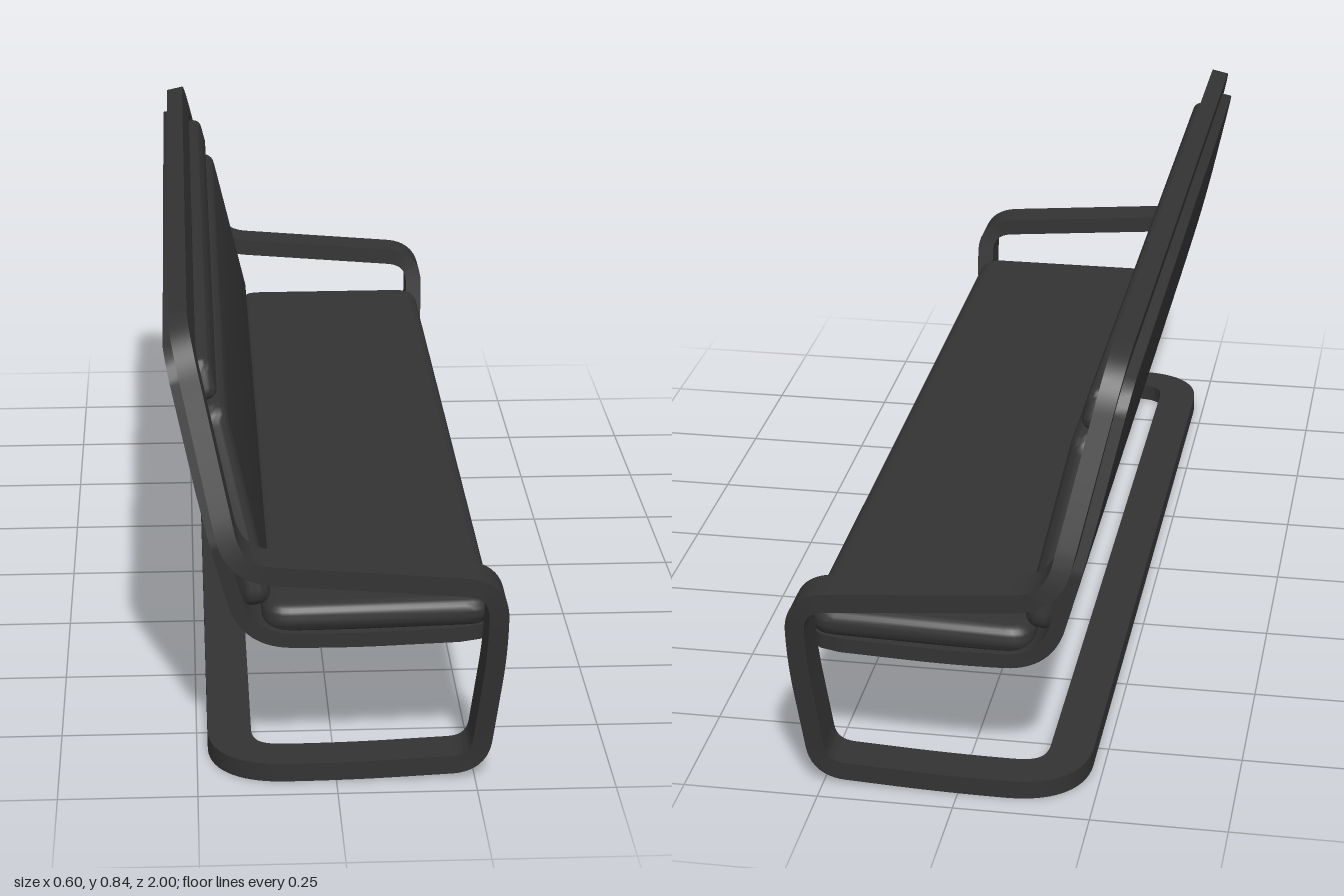
import * as THREE from 'three';
import { toCreasedNormals } from 'three/addons/utils/BufferGeometryUtils.js';

const material = new THREE.MeshStandardMaterial({ color: 0x333333 });

// Polyline of [x, y, r] points with corners eased over a length r
function roundedPath(pts, closed, path = new THREE.Path()) {
  const n = pts.length;
  const v = pts.map(p => new THREE.Vector2(p[0], p[1]));
  const toward = (i, j) => v[i].clone().add(v[j].clone().sub(v[i]).setLength(pts[i][2]));
  const first = closed ? toward(0, 1) : v[0];
  path.moveTo(first.x, first.y);
  for (let k = 1; k < (closed ? n + 1 : n - 1); k++) {
    const i = k % n, a = toward(i, (i + n - 1) % n), b = toward(i, (i + 1) % n);
    path.lineTo(a.x, a.y);
    path.quadraticCurveTo(v[i].x, v[i].y, b.x, b.y);
  }
  if (!closed) path.lineTo(v[n - 1].x, v[n - 1].y);
  return path;
}

// Side profile as a bent sheet: (s along it, z across it, n off it) to a 3D point
function bentSheet(path) {
  const length = path.getLength();
  const at = (s, z, n) => {
    const t = THREE.MathUtils.clamp(s / length, 0, 1);
    const p = path.getPoint(t), d = path.getTangent(t);
    return [p.x - d.y * n, p.y + d.x * n, z];
  };
  // Distance along the sheet nearest to a side-view point
  const find = (x, y) => {
    let best = 0, min = Infinity;
    for (let i = 0; i <= 500; i++) {
      const p = path.getPoint(i / 500), d = Math.hypot(p.x - x, p.y - y);
      if (d < min) { min = d; best = i / 500 * length; }
    }
    return best;
  };
  return { length, at, find };
}

// Skin over four-cornered rings
function loft(rings, closed) {
  const index = [], n = rings.length;
  for (let i = 0; i < (closed ? n : n - 1); i++) {
    const a = i * 4, b = ((i + 1) % n) * 4;
    for (let j = 0; j < 4; j++) {
      const k = (j + 1) % 4;
      index.push(a + j, a + k, b + k, a + j, b + k, b + j);
    }
  }
  if (!closed) {
    const e = (n - 1) * 4;
    index.push(0, 2, 1, 0, 3, 2, e, e + 1, e + 2, e, e + 2, e + 3);
  }
  const g = new THREE.BufferGeometry();
  g.setAttribute('position', new THREE.Float32BufferAttribute(rings.flat(2), 3));
  g.setIndex(index);
  return toCreasedNormals(g, 0.6);
}

const corners = [[-1, -1], [1, -1], [1, 1], [-1, 1]];

// Continuous flat-bar loop: base, risers, arms and top rail
function frameGeometry() {
  const sheet = bentSheet(roundedPath([
    [-0.23, 0.018, 0], [0.02, 0.018, 0.1], [0.257, 0.029, 0.05], [0.283, 0.26, 0.06],
    [0.283, 0.392, 0.06], [-0.182, 0.43, 0.07], [-0.274, 0.842, 0]]));
  const foot = sheet.find(0.255, 0.04), elbow = sheet.find(0.27, 0.38);
  const armBack = sheet.find(-0.185, 0.46), top = sheet.length - 0.033;
  const half = [[0.04, 0.91, 0.1], [foot, 0.91, 0.05], [elbow, 0.96, 0.05],
    [armBack, 0.96, 0.06], [top, 0.85, 0.07]];
  const mirrored = half.map(([s, z, r]) => [s, -z, r]).reverse();
  const loop = roundedPath([...half, ...mirrored], true);
  const rings = [], count = 800;
  for (let i = 0; i < count; i++) {
    const p = loop.getPoint(i / count), d = loop.getTangent(i / count);
    const w = 0.04 - 0.0075 * THREE.MathUtils.smoothstep(p.x, armBack, top);
    rings.push(corners.map(([n, k]) =>
      sheet.at(p.x - d.y * k * w, p.y + d.x * k * w, n * 0.0175)));
  }
  return loft(rings, true);
}

// Bent panel under the cushions, its half width varying from top to front edge
function shellGeometry() {
  const sheet = bentSheet(roundedPath([
    [-0.286, 0.787, 0], [-0.222, 0.5, 0.1], [-0.158, 0.266, 0.08],
    [0.02, 0.259, 0.08], [0.28, 0.264, 0]]));
  const outline = [[0, 0.81], [0.02, 0.84], [0.05, 0.86], [0.36, 0.925], [0.5, 0.92],
    [0.94, 0.905], [0.98, 0.895], [1, 0.875]];
  const halfWidth = u => {
    const i = Math.max(1, outline.findIndex(o => o[0] >= u));
    const [a, b] = [outline[i - 1], outline[i]];
    return THREE.MathUtils.mapLinear(u, a[0], b[0], a[1], b[1]);
  };
  const rings = [];
  for (let i = 0; i <= 100; i++) {
    const w = halfWidth(i / 100);
    rings.push(corners.map(([n, k]) => sheet.at(i / 100 * sheet.length, k * w, n * 0.014)));
  }
  return loft(rings, false);
}

// Soft-edged pad, tapering from half width w0 at its lower edge to w1
function cushionGeometry({ w0, w1, height, thick, edge, round, x, y, tilt }) {
  const h = height / 2, bevel = thick * 0.42;
  const shape = roundedPath([[-w0, -h, round], [w0, -h, round], [w1, h, round], [-w1, h, round]],
    true, new THREE.Shape());
  const g = new THREE.ExtrudeGeometry(shape, {
    depth: thick - 2 * bevel, bevelThickness: bevel, bevelSize: edge, bevelOffset: -edge,
    bevelSegments: 6, curveSegments: 6 });
  g.translate(0, 0, bevel - thick / 2);
  g.rotateY(Math.PI / 2).rotateZ(tilt).translate(x, y, 0);
  return toCreasedNormals(g, 0.7);
}

export function createModel() {
  const group = new THREE.Group();
  const add = (name, geometry) => {
    const mesh = new THREE.Mesh(geometry, material);
    mesh.name = name;
    group.add(mesh);
  };
  add('frame', frameGeometry());
  add('shell', shellGeometry());
  add('seatCushion', cushionGeometry({ w0: 0.9, w1: 0.91, height: 0.415, thick: 0.056,
    edge: 0.026, round: 0.05, x: 0.077, y: 0.298, tilt: Math.PI / 2 + 0.01 }));
  add('backCushion', cushionGeometry({ w0: 0.905, w1: 0.845, height: 0.37, thick: 0.056,
    edge: 0.024, round: 0.035, x: -0.179, y: 0.5, tilt: 0.225 }));
  add('headCushion', cushionGeometry({ w0: 0.845, w1: 0.825, height: 0.075, thick: 0.045,
    edge: 0.018, round: 0.024, x: -0.233, y: 0.727, tilt: 0.225 }));
  return group;
}
